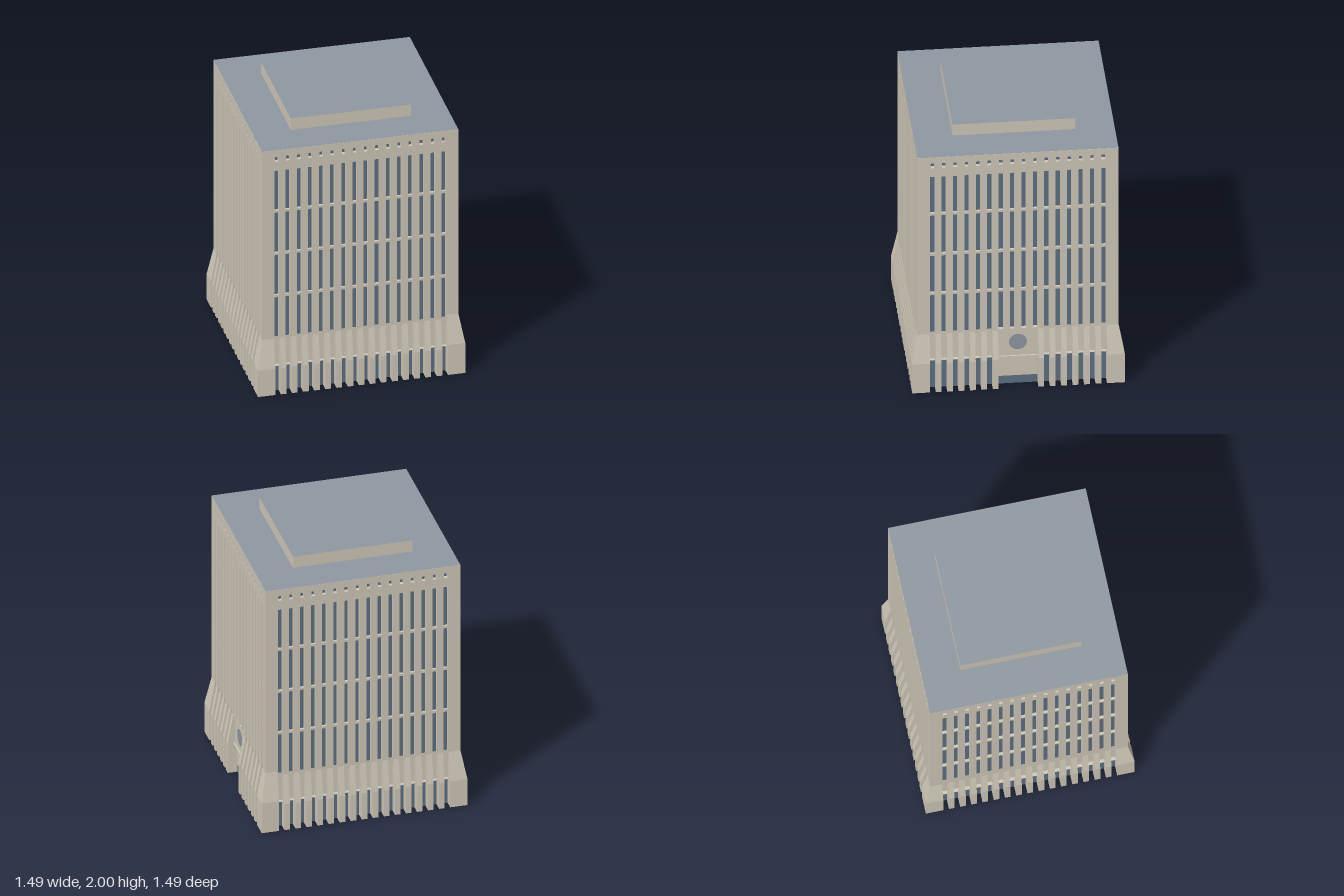
import * as THREE from 'three';

const stone = new THREE.MeshStandardMaterial({ color: 0xd1c9ba, side: THREE.DoubleSide });
stone.name = 'stone';
const glass = new THREE.MeshStandardMaterial({ color: 0x5f7184, side: THREE.DoubleSide });
glass.name = 'glass';
const slate = new THREE.MeshStandardMaterial({ color: 0x8f98a1, side: THREE.DoubleSide });
slate.name = 'slate';

const WALL = 0.705, INNER = 0.675, FLARE = 0.745, TOP = 1.91;
const BAYS = 16, STEP = 0.08;
const KINK = 0.207, SHOULDER = 0.425, ENTRY = 0.14;

function add(group, name, geometry, material, x = 0, y = 0, z = 0) {
  const mesh = new THREE.Mesh(geometry, material);
  mesh.name = name;
  mesh.position.set(x, y, z);
  group.add(mesh);
  return mesh;
}

// Upright plate facing outward, between two heights
function plate(group, name, width, y0, y1, z, material) {
  return add(group, name, new THREE.PlaneGeometry(width, y1 - y0), material, 0, (y0 + y1) / 2, z);
}

function polygon(points, Type = THREE.Shape) {
  return new Type(points.map(([x, y]) => new THREE.Vector2(x, y)));
}

// Wall slab pierced by tall slots and small attic windows
function wallGeometry(half, lift, entrance) {
  const bottom = KINK + lift, shoulder = SHOULDER + lift;
  const shape = polygon([[-half, bottom], [half, bottom], [half, TOP], [-half, TOP]]);
  const hole = (points) => shape.holes.push(polygon(points, THREE.Path));
  for (let i = 0; i < BAYS; i++) {
    const x = (i - (BAYS - 1) / 2) * STEP;
    const top = 1.76, a = 0.016, b = 0.02;
    if (entrance && Math.abs(x) < ENTRY) {
      hole([[x - a, shoulder + 0.012], [x + a, shoulder + 0.012], [x + a, top], [x - a, top]]);
    } else {
      hole([[x - b, bottom + 0.003], [x + b, bottom + 0.003], [x + b, shoulder - 0.03], [x + a, shoulder + 0.005],
        [x + a, top], [x - a, top], [x - a, shoulder + 0.005], [x - b, shoulder - 0.03]]);
    }
    hole([[x - 0.013, 1.822], [x + 0.013, 1.822], [x + 0.013, 1.86], [x - 0.013, 1.86]]);
  }
  if (entrance) {
    const e = ENTRY - 0.001;
    hole([[-e, bottom + 0.003], [e, bottom + 0.003], [e, shoulder + 0.005], [-e, shoulder + 0.005]]);
  }
  return new THREE.ExtrudeGeometry(shape, { depth: WALL - INNER, bevelEnabled: false });
}

// Flared fin: side profile extruded across its width
function finGeometry(lift) {
  const profile = polygon([[INNER, 0], [FLARE, 0], [FLARE, KINK + lift], [WALL, SHOULDER + lift], [INNER, SHOULDER + lift]]);
  const geometry = new THREE.ExtrudeGeometry(profile, { depth: 0.04, bevelEnabled: false });
  return geometry.translate(0, 0, -0.02).rotateY(-Math.PI / 2);
}

// L-shaped flared corner pier, lofted through three levels
function cornerGeometry(lift) {
  const inside = 0.62;
  const rings = [[0, FLARE], [KINK + lift, FLARE], [SHOULDER + lift, WALL]].map(([y, d]) =>
    [[inside, INNER], [inside, d], [d, d], [d, inside], [INNER, inside], [INNER, INNER]].map(([x, z]) => [x, y, z]));
  const positions = [];
  const quad = (a, b, c, d) => positions.push(...a, ...b, ...c, ...a, ...c, ...d);
  for (let r = 0; r < 2; r++) {
    for (let i = 0; i < 6; i++) {
      const j = (i + 1) % 6;
      quad(rings[r][i], rings[r][j], rings[r + 1][j], rings[r + 1][i]);
    }
  }
  const [base, , cap] = rings;
  quad(base[0], base[5], base[2], base[1]);
  quad(base[5], base[4], base[3], base[2]);
  quad(cap[0], cap[1], cap[2], cap[5]);
  quad(cap[5], cap[2], cap[3], cap[4]);
  const geometry = new THREE.BufferGeometry();
  geometry.setAttribute('position', new THREE.Float32BufferAttribute(positions, 3));
  geometry.computeVertexNormals();
  return geometry;
}

// One side of the tower, built facing +z
function buildFacade(name, half, entrance) {
  const facade = new THREE.Group();
  facade.name = name;
  const lift = entrance ? 0.03 : 0;
  const bottom = KINK + lift, shoulder = SHOULDER + lift;

  add(facade, 'wall', wallGeometry(half, lift, entrance), stone, 0, 0, INNER);
  plate(facade, 'innerWall', INNER * 2, bottom, TOP - 0.005, INNER - 0.002, stone);
  plate(facade, 'baseGlass', INNER * 2, 0, bottom, INNER, glass);
  plate(facade, 'gapBacking', 1.25, bottom, shoulder + 0.005, INNER + 0.006, stone);
  plate(facade, 'towerGlass', 1.25, shoulder, 1.88, INNER + 0.003, glass);

  // Spandrel bars showing through the slots
  const levels = entrance ? [0.78, 1.104, 1.435, 1.754] : [0.754, 1.088, 1.423, 1.754];
  for (const y of levels) {
    add(facade, 'spandrel', new THREE.BoxGeometry(1.25, 0.018, 0.018), stone, 0, y, INNER + 0.013);
  }

  // Fins between the bays
  const fin = finGeometry(lift);
  for (let k = -7; k <= 7; k++) {
    if (entrance && Math.abs(k) < 2) continue;
    add(facade, 'fin', fin, stone, k * STEP, 0, 0);
  }

  if (entrance) {
    const height = shoulder - bottom + 0.005;
    add(facade, 'entranceUpperPanel', new THREE.BoxGeometry(ENTRY * 2, height, 0.02), stone, 0, bottom + height / 2, 0.684);
    plate(facade, 'entranceLowerPanel', ENTRY * 2, 0.065, bottom, INNER + 0.004, stone);
    add(facade, 'entranceDisc', new THREE.CircleGeometry(0.063, 32), slate, 0, 0.352, 0.697);
  }
  return facade;
}

export function createModel() {
  const model = new THREE.Group();
  model.name = 'officeTower';

  const sides = [['frontFacade', 0, WALL, false], ['leftFacade', 1, INNER, true],
    ['backFacade', 2, WALL, false], ['rightFacade', 3, INNER, false]];
  for (const [name, turn, half, entrance] of sides) {
    const facade = buildFacade(name, half, entrance);
    facade.rotation.y = turn * Math.PI / 2;
    model.add(facade);
  }

  // Corner piers; those beside the entrance side stand slightly taller
  for (let i = 0; i < 4; i++) {
    const pier = add(model, 'cornerPier', cornerGeometry(i < 2 ? 0.03 : 0), stone);
    pier.rotation.y = i * Math.PI / 2;
  }

  // Roof and penthouse
  add(model, 'roof', new THREE.PlaneGeometry(WALL * 2, WALL * 2).rotateX(-Math.PI / 2), slate, 0, TOP + 0.001, 0);
  add(model, 'penthouse', new THREE.BoxGeometry(0.864, 0.09, 0.864),
    [stone, stone, slate, stone, stone, stone], 0, 1.955, 0);
  return model;
}
